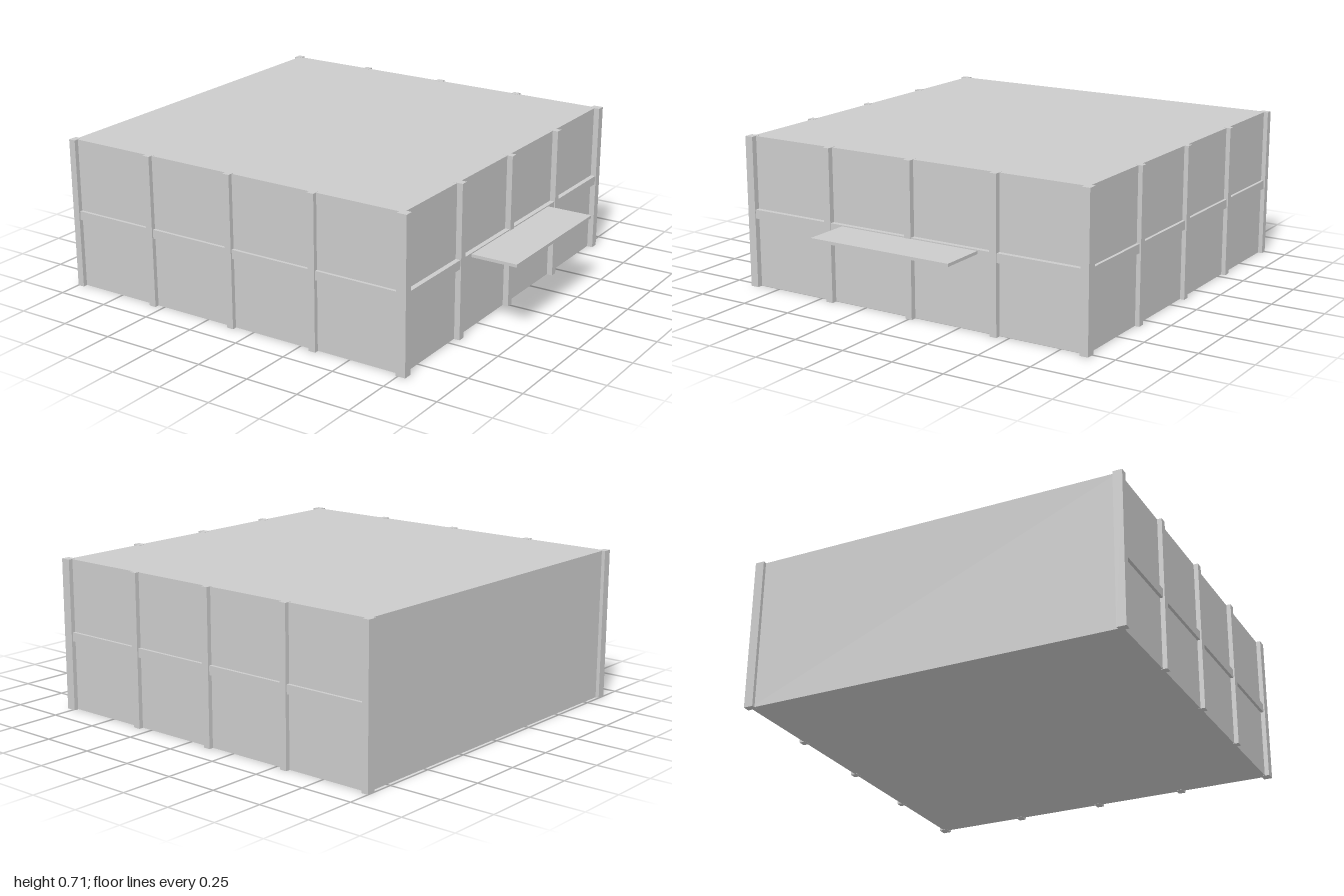
import * as THREE from 'three';

const H = 0.71;

export function createModel() {
  const model = new THREE.Group();
  const material = new THREE.MeshStandardMaterial({ color: 0xcccccc, flatShading: true });

  // Box given by its minimum and maximum on each axis
  function block(name, x0, x1, y0, y1, z0, z1) {
    const mesh = new THREE.Mesh(new THREE.BoxGeometry(x1 - x0, y1 - y0, z1 - z0), material);
    mesh.position.set((x0 + x1) / 2, (y0 + y1) / 2, (z0 + z1) / 2);
    mesh.name = name;
    model.add(mesh);
  }

  // Same block on the front (+z) and back (-z) walls
  function frontAndBack(name, x0, x1, y0, y1, z0, z1) {
    block(name + 'Front', x0, x1, y0, y1, z0, z1);
    block(name + 'Back', x0, x1, y0, y1, -z1, -z0);
  }

  // Main building volume
  block('buildingBody', -0.983, 0.759, 0.001, H - 0.001, -0.872, 0.872);

  // Corner posts; the plain wall sits slightly behind its two posts
  frontAndBack('plainCornerPost', -1, -0.967, 0, H, 0.85, 0.893);
  frontAndBack('cornerPost', 0.74, 0.786, 0, H, 0.853, 0.893);

  // Pilasters and floor band along the front and back
  for (const x of [-0.552, -0.113, 0.322]) {
    frontAndBack('pilaster', x - 0.017, x + 0.017, 0, H, 0.86, 0.893);
  }
  frontAndBack('floorBand', -0.97, 0.75, 0.328, 0.37, 0.86, 0.886);

  // Pilasters and floor band along the entrance side
  for (const z of [-0.435, 0, 0.435]) {
    block('entrancePilaster', 0.74, 0.786, 0, H, z - 0.017, z + 0.017);
  }
  block('entranceFloorBand', 0.74, 0.782, 0.328, 0.37, -0.86, 0.86);

  // Entrance canopy
  block('canopy', 0.77, 1, 0.351, 0.365, -0.356, 0.356);

  return model;
}
